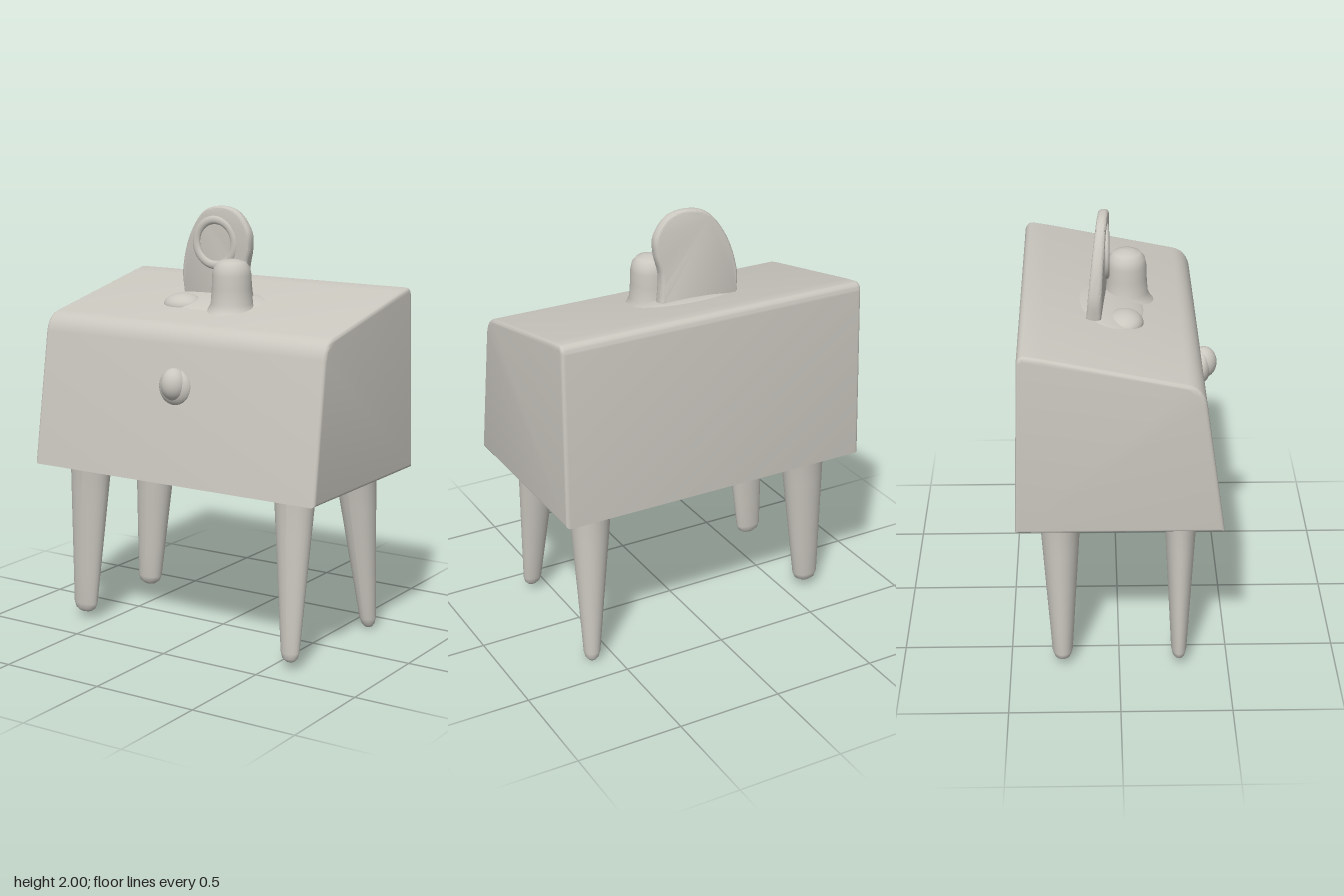
import * as THREE from 'three';
import { toCreasedNormals } from 'three/addons/utils/BufferGeometryUtils.js';

const clay = new THREE.MeshStandardMaterial({ color: 0xcac7bf });
clay.name = 'pale clay';

const lerp = THREE.MathUtils.lerp;

// Applies a rule to every vertex, then refreshes the normals.
function reshape(geometry, rule) {
  const p = geometry.attributes.position;
  const v = new THREE.Vector3();
  for (let i = 0; i < p.count; i++) {
    v.fromBufferAttribute(p, i);
    rule(v);
    p.setXYZ(i, v.x, v.y, v.z);
  }
  geometry.computeVertexNormals();
  return geometry;
}

const lathe = (points, sides = 32) =>
  new THREE.LatheGeometry(points.map(([r, y]) => new THREE.Vector2(r, y)), sides);

export function createModel() {
  const model = new THREE.Group();
  const add = (name, geometry, x = 0, y = 0, z = 0) => {
    const mesh = new THREE.Mesh(geometry, clay);
    mesh.name = name;
    mesh.position.set(x, y, z);
    model.add(mesh);
    return mesh;
  };

  // Sloped cabinet: side profile (z, y) extruded across x
  const bevel = 0.018;
  const side = new THREE.Shape();
  side.moveTo(-0.44, 0.805);
  side.lineTo(0.44, 0.805);
  side.lineTo(0.35, 1.41);
  side.quadraticCurveTo(0.338, 1.473, 0.28, 1.485);
  side.lineTo(-0.33, 1.61);
  side.lineTo(-0.40, 1.622);
  side.quadraticCurveTo(-0.415, 1.622, -0.417, 1.60);
  side.closePath();
  const cabinet = new THREE.ExtrudeGeometry(side, {
    depth: 1.49, curveSegments: 6, bevelEnabled: true,
    bevelSize: bevel, bevelThickness: bevel, bevelSegments: 4,
  });
  cabinet.translate(0, 0, -0.745).rotateY(-Math.PI / 2);
  reshape(cabinet, (v) => { v.x *= lerp(1.002, 0.988, (v.y - 0.79) / 0.85); });
  add('cabinet', toCreasedNormals(cabinet, 0.6));

  // Tapered legs, each leaning from its top to its foot: [x, z, rx, rz]
  const leg = (name, footY, top, foot) => {
    const profile = [[0, 0], [0.5, 0.006], [0.85, 0.025], [1, 0.06],
      [1, 0.25], [1, 0.5], [1, 0.75], [1, 0.96], [1.08, 1]];
    const g = lathe(profile, 24);
    reshape(g, (v) => {
      const t = v.y;
      v.x = lerp(foot[0], top[0], t) + v.x * lerp(foot[2], top[2], t);
      v.z = lerp(foot[1], top[1], t) + v.z * lerp(foot[3], top[3], t);
      v.y = lerp(footY, 0.81, t);
    });
    add(name, g);
  };
  leg('frontLeftLeg', 0.03, [0.56, 0.275, 0.1, 0.078], [0.585, 0.35, 0.042, 0.03]);
  leg('backLeftLeg', 0, [0.56, -0.27, 0.1, 0.098], [0.605, -0.348, 0.035, 0.036]);
  leg('frontRightLeg', 0.03, [-0.57, 0.275, 0.11, 0.075], [-0.62, 0.275, 0.062, 0.033]);
  leg('backRightLeg', 0.03, [-0.57, -0.265, 0.11, 0.095], [-0.62, -0.262, 0.06, 0.044]);

  // Front knob on a soft base
  const base = new THREE.SphereGeometry(1, 24, 16).scale(0.085, 0.085, 0.045);
  add('knobBase', base, 0, 1.225, 0.39);
  const knob = new THREE.SphereGeometry(1, 24, 16).scale(0.062, 0.075, 0.06);
  add('knob', knob, 0, 1.24, 0.402);

  // Upright rounded paddle with a shallow dish in its face
  const outline = new THREE.Shape();
  outline.moveTo(-0.25, 1.53);
  outline.splineThru([[-0.262, 1.6], [-0.265, 1.7], [-0.225, 1.84], [-0.145, 1.955],
    [-0.05, 1.985], [0.04, 1.965], [0.098, 1.89], [0.1, 1.81], [0.08, 1.72],
    [0.085, 1.62], [0.1, 1.53]].map(([x, y]) => new THREE.Vector2(x, y)));
  outline.closePath();
  const paddle = new THREE.ExtrudeGeometry(outline, {
    depth: 0.016, curveSegments: 40, bevelEnabled: true,
    bevelSize: 0.015, bevelThickness: 0.022, bevelSegments: 5,
  });
  paddle.translate(0, 0, -0.008);
  reshape(paddle, (v) => {
    const t = (v.y - 1.53) / 0.47;
    v.z = v.z * lerp(1.15, 0.75, t) + lerp(-0.09, -0.06, t) + v.x * 0.08;
  });
  add('paddle', toCreasedNormals(paddle, 0.9));
  const rim = new THREE.TorusGeometry(0.105, 0.02, 10, 40).scale(1, 1, 0.6);
  add('dishRim', rim, -0.075, 1.83, -0.047);

  // Round-topped peg with a flared foot
  add('peg', lathe([[0.15, 1.5], [0.115, 1.535], [0.097, 1.57], [0.092, 1.64], [0.09, 1.7],
    [0.083, 1.735], [0.063, 1.76], [0.03, 1.77], [0, 1.772]]), 0.077, 0, 0.045);

  // Low mound beside the peg and the soft swelling under the ornaments
  const mound = new THREE.SphereGeometry(1, 28, 16).scale(0.1, 0.055, 0.085);
  add('mound', mound, -0.2, 1.538, 0.03);
  const swelling = new THREE.SphereGeometry(1, 36, 16).scale(0.28, 0.03, 0.16);
  add('swelling', swelling, -0.06, 1.555, -0.03).rotation.x = 0.196;

  return model;
}
